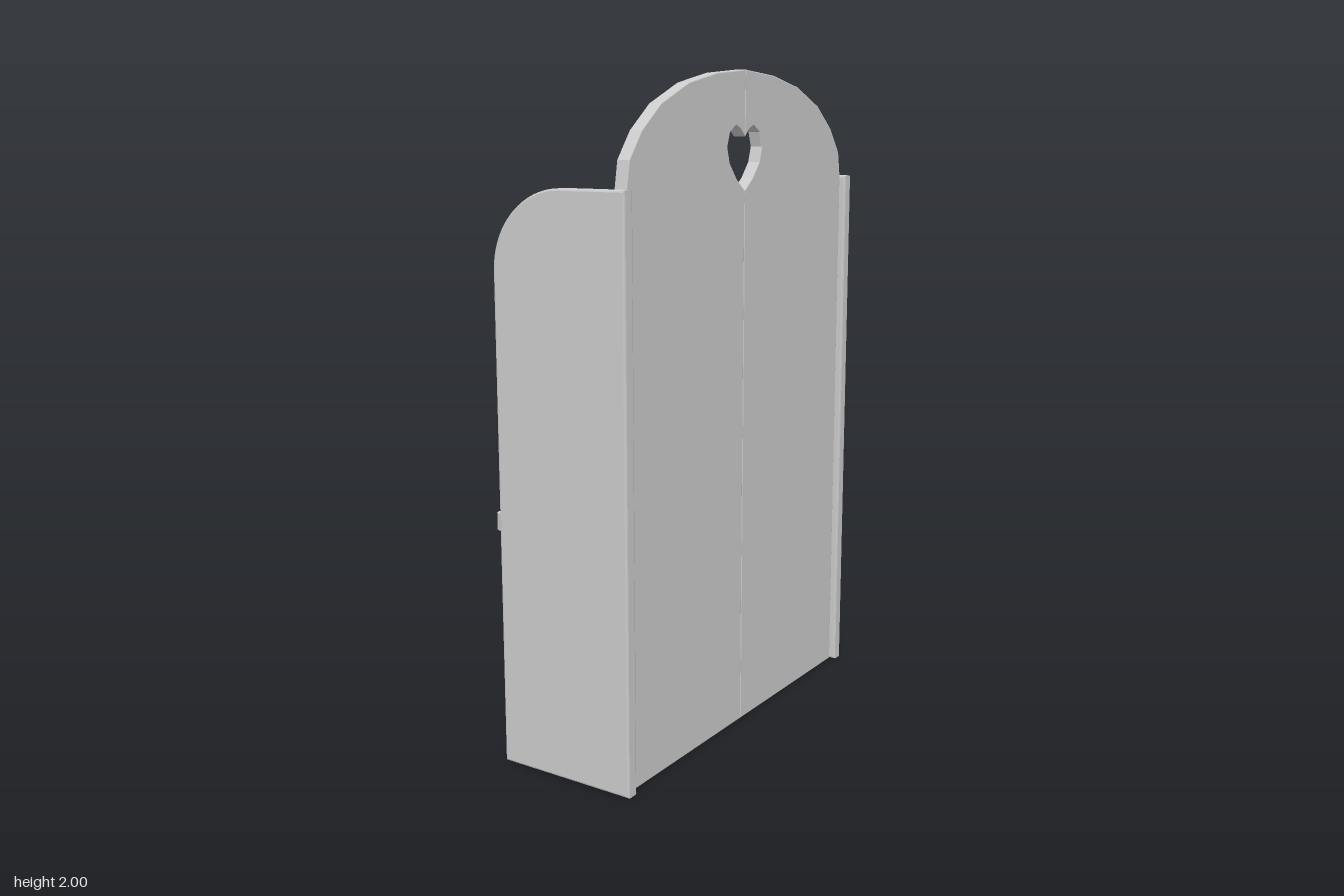
import * as THREE from 'three';

const wood = new THREE.MeshStandardMaterial({ color: 0xcccccc });
wood.name = 'plain wood';

// Extruded board with slightly eased edges that stays inside its outline
function board(name, shape, thickness, ease) {
  const geometry = new THREE.ExtrudeGeometry(shape, {
    depth: thickness - 2 * ease, curveSegments: 12,
    bevelEnabled: ease > 0, bevelThickness: ease, bevelSize: ease,
    bevelOffset: -ease, bevelSegments: 2,
  });
  geometry.translate(0, 0, ease);
  const mesh = new THREE.Mesh(geometry, wood);
  mesh.name = name;
  return mesh;
}

// Upright side with a rounded front top corner
function sidePanel(name, z) {
  const s = new THREE.Shape();
  s.moveTo(0.24, 0.005);
  s.lineTo(0.24, 1.68);
  s.lineTo(0.03, 1.68);
  s.absellipse(0.03, 1.45, 0.235, 0.23, Math.PI / 2, Math.PI, false);
  s.lineTo(-0.205, 0.005);
  s.closePath();
  const mesh = board(name, s, 0.04, 0.006);
  mesh.position.z = z;
  return mesh;
}

// One half of the arched back, with half of the heart cut from its inner edge
function backHalf(name, side) {
  const seam = 0.007;
  const arch = [[0.6, 0.005], [0.6, 1.68], [0.587, 1.755], [0.53, 1.83],
    [0.44, 1.9], [0.305, 1.957], [0.16, 1.987]];
  const inner = [[0, 2], [0, 1.81], [0.025, 1.832], [0.05, 1.842], [0.083, 1.822],
    [0.097, 1.78], [0.083, 1.735], [0.045, 1.69], [0, 1.655], [0, 0.005]];
  const points = [
    ...arch.map(([z, y]) => new THREE.Vector2(-side * z, y)),
    ...inner.map(([z, y]) => new THREE.Vector2(-(seam + side * z), y)),
  ];
  const mesh = board(name, new THREE.Shape(points), 0.04, 0.003);
  mesh.rotation.y = Math.PI / 2;
  mesh.position.x = 0.18;
  return mesh;
}

// Shelf with a gently hollowed front edge
function shelf(name, top, endX, midX, halfWidth, corner) {
  const s = new THREE.Shape();
  s.moveTo(0.185, -halfWidth);
  s.lineTo(endX + corner * 1.5, -halfWidth);
  s.quadraticCurveTo(endX, -halfWidth, endX, -halfWidth + corner);
  s.bezierCurveTo(midX, -0.2, midX, 0.25, endX, halfWidth - corner);
  s.quadraticCurveTo(endX, halfWidth, endX + corner * 1.5, halfWidth);
  s.lineTo(0.185, halfWidth);
  s.closePath();
  const mesh = board(name, s, 0.05, 0);
  mesh.rotation.x = Math.PI / 2;
  mesh.position.y = top;
  return mesh;
}

export function createModel() {
  const model = new THREE.Group();
  model.name = 'bookcase';

  model.add(sidePanel('sidePanelFront', 0.6), sidePanel('sidePanelRear', -0.64));
  model.add(backHalf('backPanelFront', 1), backHalf('backPanelRear', -1));

  model.add(shelf('counterShelf', 0.75, -0.242, -0.2, 0.62, 0.02));
  model.add(shelf('middleShelf', 1.05, -0.15, -0.115, 0.602, 0));
  model.add(shelf('topShelf', 1.49, -0.15, -0.115, 0.602, 0));

  // Lower front boards with narrow gaps between them
  const edges = [0.005, 0.185, 0.5, 0.704];
  for (let i = 0; i < 3; i++) {
    const height = edges[i + 1] - edges[i] - 0.004;
    const mesh = new THREE.Mesh(new THREE.BoxGeometry(0.025, height, 1.204), wood);
    mesh.position.set(-0.178, edges[i] + height / 2, 0);
    mesh.name = 'frontBoard' + (i + 1);
    model.add(mesh);
  }

  // Rest the bookcase on the ground
  const box = new THREE.Box3().setFromObject(model);
  model.children.forEach((part) => { part.position.y -= box.min.y; });
  return model;
}
